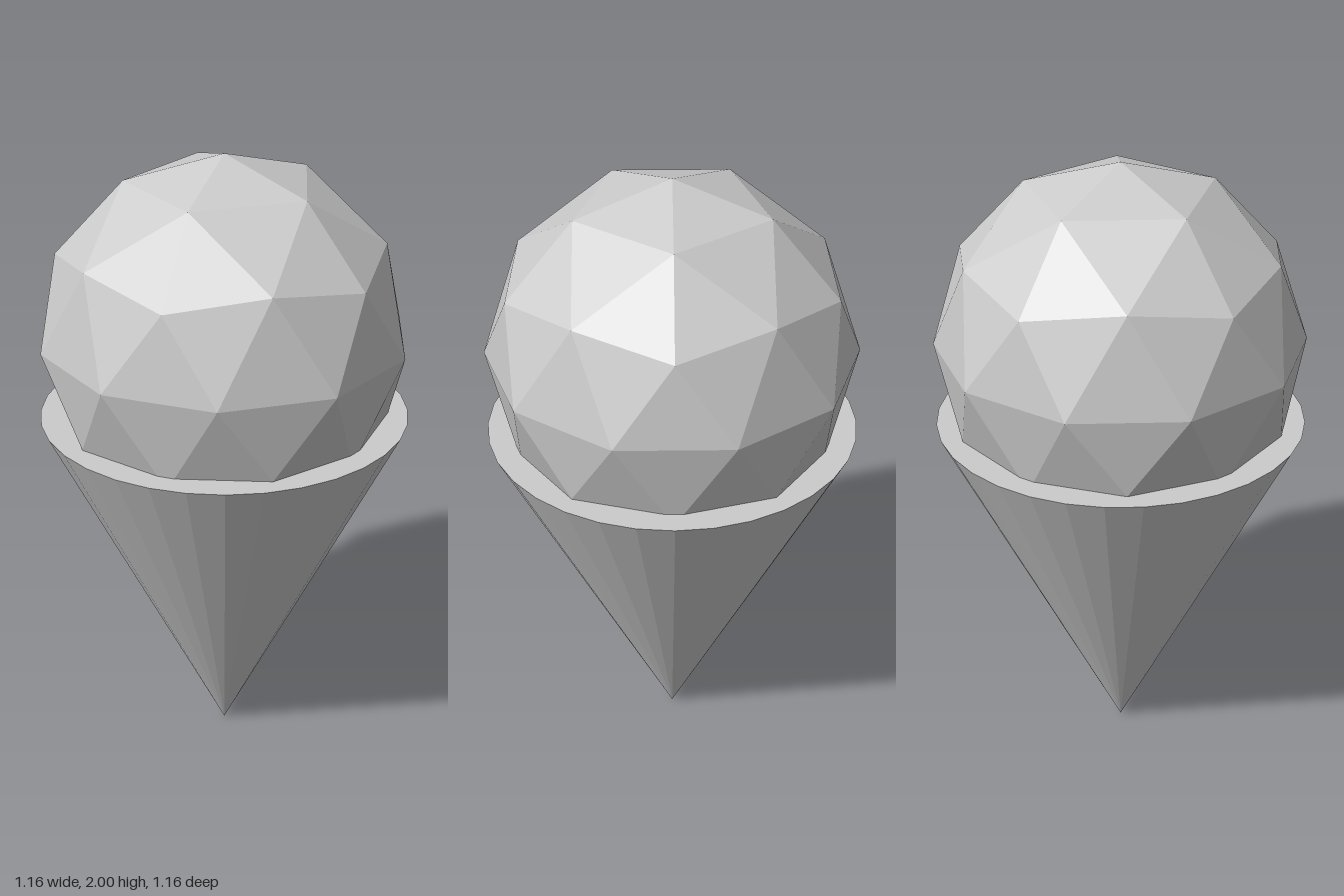
import * as THREE from 'three';

export function createModel() {
  const group = new THREE.Group();
  const material = new THREE.MeshStandardMaterial({ color: 0xcccccc, flatShading: true });

  const add = (name, geometry, y) => {
    const mesh = new THREE.Mesh(geometry, material);
    mesh.name = name;
    mesh.position.y = y;
    group.add(mesh);
  };

  // Closed cone standing on its tip
  const coneHeight = 1.163;
  const cone = new THREE.ConeGeometry(0.58, coneHeight, 32).rotateX(Math.PI);
  add('cone', cone, coneHeight / 2);

  // Faceted scoop, turned so that one five-sided corner points straight up
  const radius = 0.578;
  const golden = (1 + Math.sqrt(5)) / 2;
  const scoop = new THREE.IcosahedronGeometry(radius, 1)
    .rotateX(-Math.atan(golden))
    .rotateY(Math.PI / 2);
  add('scoop', scoop, 2 - radius);

  return group;
}
